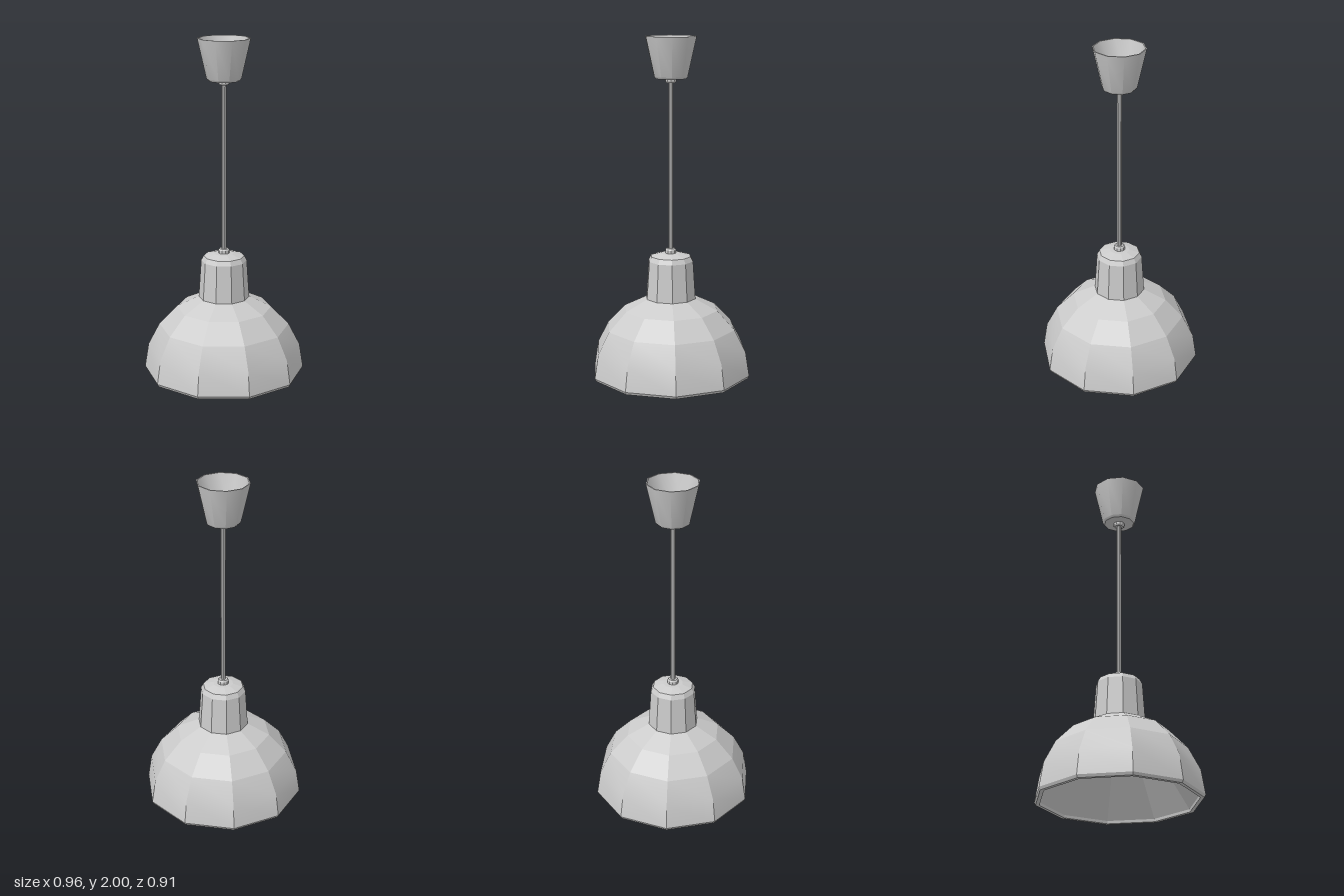
import * as THREE from 'three';
import { toCreasedNormals } from 'three/addons/utils/BufferGeometryUtils.js';

const SIDES = 10;

export function createModel() {
  const group = new THREE.Group();
  const flat = new THREE.MeshStandardMaterial({ color: 0xcccccc, flatShading: true, side: THREE.DoubleSide });
  const smooth = new THREE.MeshStandardMaterial({ color: 0xcccccc, side: THREE.DoubleSide });

  // Ten-sided turned part with a corner on the x axis; profile is [radius, height].
  // With a crease angle (degrees), only edges sharper than it stay hard.
  const turned = (name, profile, crease = 0) => {
    const points = profile.map(([r, y]) => new THREE.Vector2(r, y));
    const lathe = new THREE.LatheGeometry(points, SIDES, Math.PI / 2);
    const mesh = crease
      ? new THREE.Mesh(toCreasedNormals(lathe, THREE.MathUtils.degToRad(crease)), smooth)
      : new THREE.Mesh(lathe, flat);
    mesh.name = name;
    group.add(mesh);
  };
  const rod = (name, r, y0, y1) => turned(name, [[0, y0], [r, y0], [r, y1], [0, y1]]);

  // Shade: softly bent skirt, faceted crown, thick rim and straight conical lining
  turned('shadeSkirt', [[0.478, 0.016], [0.455, 0.16], [0.388, 0.29]], 24);
  turned('shadeCrown', [[0.388, 0.29], [0.282, 0.4], [0.15, 0.465]]);
  turned('shadeRim', [[0.445, 0.016], [0.448, 0], [0.47, 0], [0.478, 0.016]]);
  turned('shadeLining', [[0.13, 0.455], [0.445, 0.016]]);

  // Neck: tapered socket housing with a bevelled cap
  turned('neck', [
    [0.13, 0.455], [0.15, 0.465], [0.135, 0.69], [0.12, 0.718], [0.06, 0.734], [0, 0.737],
  ]);

  // Bulb and its holder
  turned('bulb', [
    [0, 0.165], [0.05, 0.175], [0.095, 0.235], [0.095, 0.29], [0.05, 0.37], [0.045, 0.42], [0, 0.42],
  ]);
  rod('bulbHolder', 0.055, 0.41, 0.73);

  // Cord with a collar at each end
  rod('cord', 0.0145, 0.73, 1.79);
  turned('lowerCollar', [[0, 0.73], [0.033, 0.73], [0.033, 0.754], [0.027, 0.763], [0, 0.763]]);
  turned('upperCollar', [[0, 1.735], [0.027, 1.735], [0.033, 1.744], [0.033, 1.785], [0, 1.785]]);

  // Ceiling cup: open at the top, thin wall and flat floor
  turned('ceilingCup', [
    [0, 1.758], [0.09, 1.758], [0.1, 1.77], [0.152, 2], [0.145, 2], [0.089, 1.775], [0, 1.775],
  ], 40);

  return group;
}
